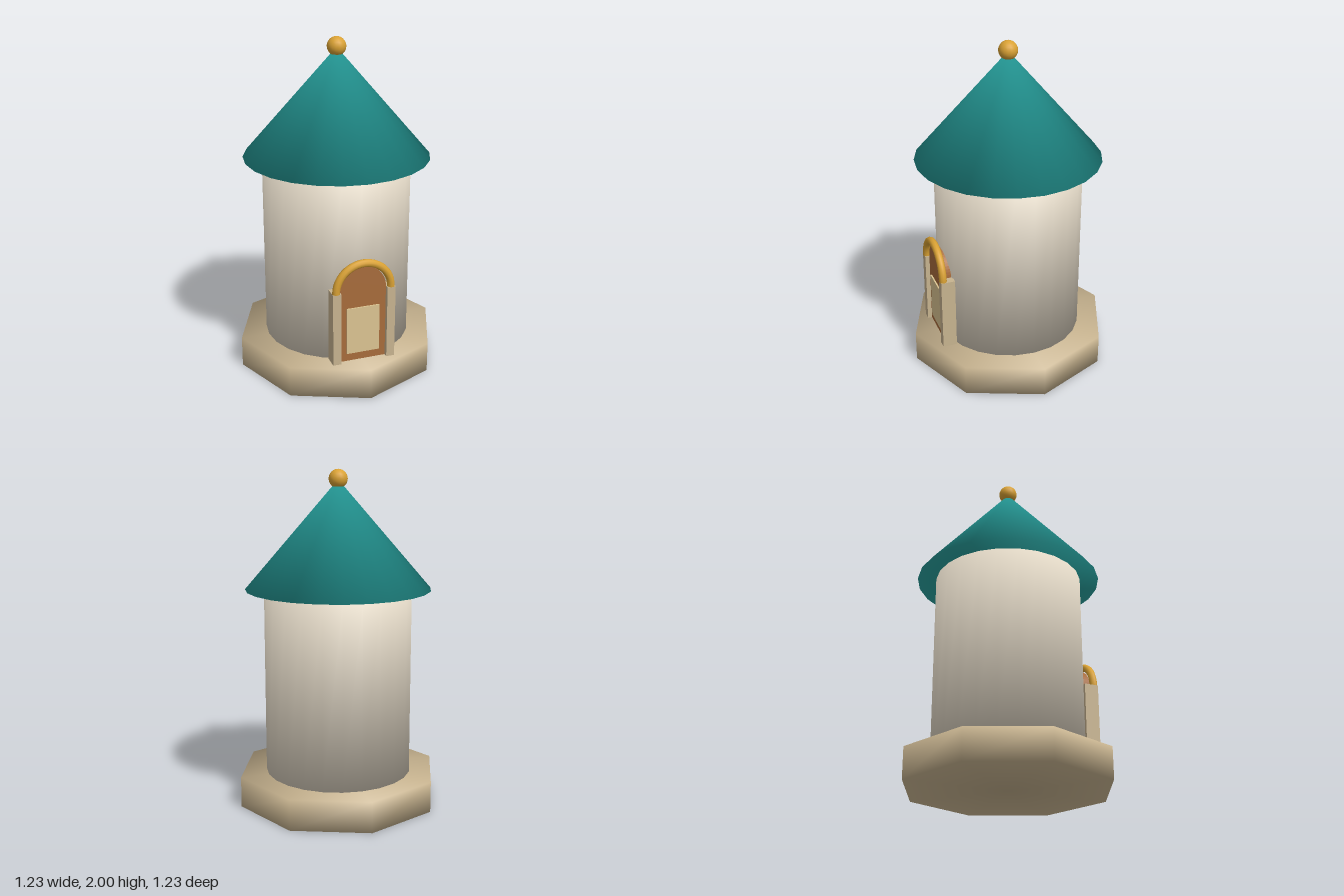
import * as THREE from 'three';
import { mergeVertices } from 'three/addons/utils/BufferGeometryUtils.js';

const paint = (name, color) => {
  const m = new THREE.MeshStandardMaterial({ color });
  m.name = name;
  return m;
};

// Weld caps to sides and give corners soft, angle-weighted normals
function weldSmooth(source) {
  source.deleteAttribute('normal');
  source.deleteAttribute('uv');
  const geo = mergeVertices(source, 1e-4);
  const pos = geo.attributes.position;
  const index = geo.index.array;
  const point = (i) => new THREE.Vector3().fromBufferAttribute(pos, i);
  const sums = Array.from({ length: pos.count }, () => new THREE.Vector3());
  for (let f = 0; f < index.length; f += 3) {
    for (let k = 0; k < 3; k++) {
      const corner = index[f + k];
      const p = point(corner);
      const u = point(index[f + (k + 1) % 3]).sub(p);
      const v = point(index[f + (k + 2) % 3]).sub(p);
      const normal = u.clone().cross(v).normalize();
      sums[corner].addScaledVector(normal, u.angleTo(v));
    }
  }
  const normals = sums.flatMap((n) => n.normalize().toArray());
  geo.setAttribute('normal', new THREE.Float32BufferAttribute(normals, 3));
  return geo;
}

export function createModel() {
  const model = new THREE.Group();
  model.name = 'roundTower';

  const plaster = paint('plaster', 0xe0d6c4);
  const stone = paint('stone', 0xc8b490);
  const teal = paint('tealRoof', 0x259b98);
  const gold = paint('gold', 0xdaa234);
  const wood = paint('wood', 0xa86c3c);
  const cream = paint('cream', 0xdcc592);

  const add = (parent, name, geometry, material, x, y, z) => {
    const mesh = new THREE.Mesh(geometry, material);
    mesh.name = name;
    mesh.position.set(x, y, z);
    parent.add(mesh);
    return mesh;
  };

  // Octagonal base, round wall, conical roof and finial
  const baseTop = 0.185, eaves = 1.3, apex = 1.94;
  add(model, 'base', weldSmooth(new THREE.CylinderGeometry(0.613, 0.613, baseTop, 8)),
    stone, 0, baseTop / 2, 0);
  add(model, 'wall', weldSmooth(new THREE.CylinderGeometry(0.44, 0.44, eaves - baseTop, 24)),
    plaster, 0, (eaves + baseTop) / 2, 0);
  add(model, 'roof', weldSmooth(new THREE.ConeGeometry(0.552, apex - eaves, 24)),
    teal, 0, (apex + eaves) / 2, 0);
  add(model, 'finial', new THREE.SphereGeometry(0.056, 16, 12), gold, 0, 1.944, 0);

  // Arched doorway on the front
  const doorway = new THREE.Group();
  doorway.name = 'doorway';
  model.add(doorway);
  const spring = 0.635, doorHeight = spring - baseTop, doorY = (spring + baseTop) / 2;

  add(doorway, 'door', new THREE.BoxGeometry(0.28, doorHeight, 0.07), wood, 0, doorY, 0.43);
  add(doorway, 'doorPanel', new THREE.BoxGeometry(0.2, 0.29, 0.009), cream, 0, 0.38, 0.4695);

  const halfDisc = new THREE.Shape();
  halfDisc.absarc(0, 0, 0.14, 0, Math.PI, false);
  const lunette = new THREE.ExtrudeGeometry(halfDisc,
    { depth: 0.07, bevelEnabled: false, curveSegments: 12 });
  add(doorway, 'doorTop', lunette, wood, 0, spring, 0.395);

  // Door jambs and the gilded arch above them
  for (const [side, name] of [[1, 'leftJamb'], [-1, 'rightJamb']]) {
    add(doorway, name, new THREE.BoxGeometry(0.05, doorHeight, 0.085),
      stone, side * 0.165, doorY, 0.449);
  }
  add(doorway, 'arch', new THREE.TorusGeometry(0.167, 0.023, 10, 24, Math.PI),
    gold, 0, spring, 0.474);

  return model;
}
